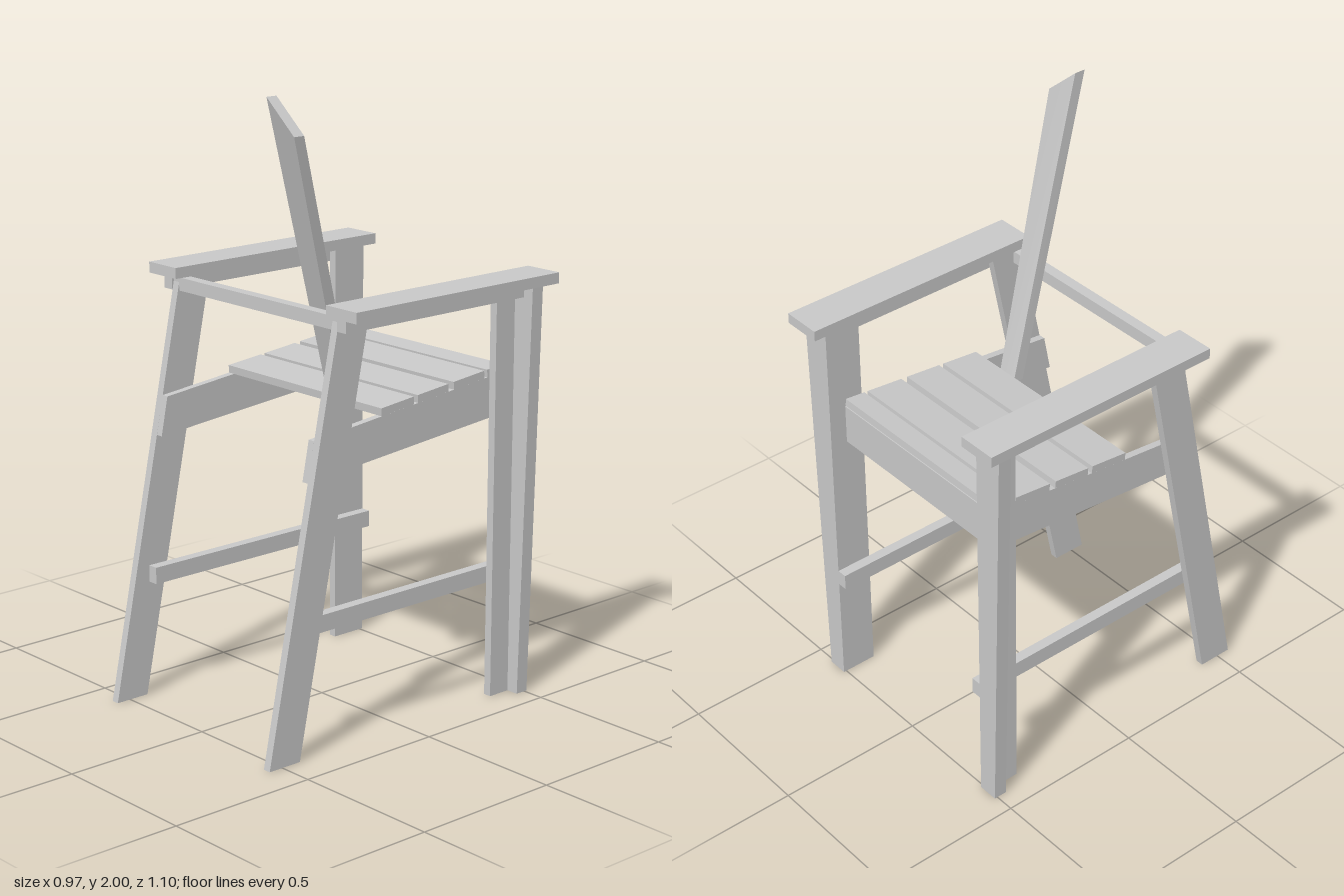
import * as THREE from 'three';

export function createModel() {
  const group = new THREE.Group();
  group.name = 'tallChair';
  const wood = new THREE.MeshStandardMaterial({ color: 0xc8c8c8 });
  wood.name = 'pale grey wood';

  const add = (name, geometry) => {
    const mesh = new THREE.Mesh(geometry, wood);
    mesh.name = name;
    group.add(mesh);
    return mesh;
  };
  const shapeOf = (pts) => new THREE.Shape(pts.map(([a, b]) => new THREE.Vector2(a, b)));

  // Straight board given by its limits
  const board = (name, x0, x1, y0, y1, z0, z1) => {
    const mesh = add(name, new THREE.BoxGeometry(Math.abs(x1 - x0), y1 - y0, z1 - z0));
    mesh.position.set((x0 + x1) / 2, (y0 + y1) / 2, (z0 + z1) / 2);
  };

  // Board with a [z, y] side outline, running from x0 to x1
  const sideBoard = (name, x0, x1, pts) => {
    const depth = Math.abs(x1 - x0);
    const geometry = new THREE.ExtrudeGeometry(shapeOf(pts), { depth, bevelEnabled: false });
    geometry.rotateY(-Math.PI / 2).translate(Math.max(x0, x1), 0, 0);
    add(name, geometry);
  };

  const rise = (z) => -0.1 * z; // slope of the seat

  for (const side of [1, -1]) {
    const label = side > 0 ? 'left' : 'right';
    const X = (x) => (side > 0 ? x : -x - 0.008);

    // Leaning leg
    sideBoard(label + 'LeaningLeg', X(0.357), X(0.384),
      [[0.55, 0], [0.43, 0], [0.152, 1.355], [0.272, 1.355]]);

    // Upright leg: a narrow board behind a tapered one
    board(label + 'UprightLegInner', X(0.357), X(0.384), 0, 1.355, -0.465, -0.385);
    const taper = new THREE.ExtrudeGeometry(
      shapeOf([[X(0.357), 0], [X(0.426), 0], [X(0.46), 1.355], [X(0.357), 1.355]]),
      { depth: 0.045, bevelEnabled: false });
    taper.translate(0, 0, -0.51);
    add(label + 'UprightLegTaperedFace', taper);

    // Foot rail, seat rail, arm support and armrest
    board(label + 'FootRail', X(0.322), X(0.357), 0.38, 0.435, -0.51, 0.413);
    sideBoard(label + 'SeatRail', X(0.333), X(0.357),
      [[0.373, 0.86], [0.348, 0.986], [-0.425, 1.021 + rise(-0.425)], [-0.425, 0.929]]);
    board(label + 'ArmSupport', X(0.384), X(0.423), 1.313, 1.355, -0.465, 0.282);
    board(label + 'Armrest', side * 0.353, side * 0.487, 1.355, 1.39, -0.553, 0.298);
  }

  // Seat slats
  [[-0.448, -0.376], [-0.363, -0.23], [-0.207, -0.077], [-0.06, 0.075]].forEach(([a, b], i) => {
    sideBoard('seatSlat' + (i + 1), -0.365, 0.357, [
      [a, 1.021 + rise(a)], [b, 1.021 + rise(b)],
      [b + 0.002, 1.046 + rise(b)], [a + 0.002, 1.046 + rise(a)]]);
  });

  // Apron and back crossbar
  board('seatApron', -0.365, 0.357, 0.929, 1.064, -0.45, -0.425);
  board('backCrossbar', -0.392, 0.384, 1.313, 1.355, 0.238, 0.275);

  // Single leaning back slat, widening to an angled top
  const slat = new THREE.BoxGeometry(1, 1, 1);
  const p = slat.attributes.position;
  for (let i = 0; i < p.count; i++) {
    const right = p.getX(i) > 0, top = p.getY(i) > 0, front = p.getZ(i) > 0;
    if (top) p.setXYZ(i, right ? 0.347 : 0.226, right ? 1.897 : 2, front ? 0.414 : 0.376);
    else p.setXYZ(i, right ? 0.239 : 0.17, front ? 1.011 : 1.018, front ? 0.117 : 0.08);
  }
  slat.computeVertexNormals();
  add('backSlat', slat);

  return group;
}
